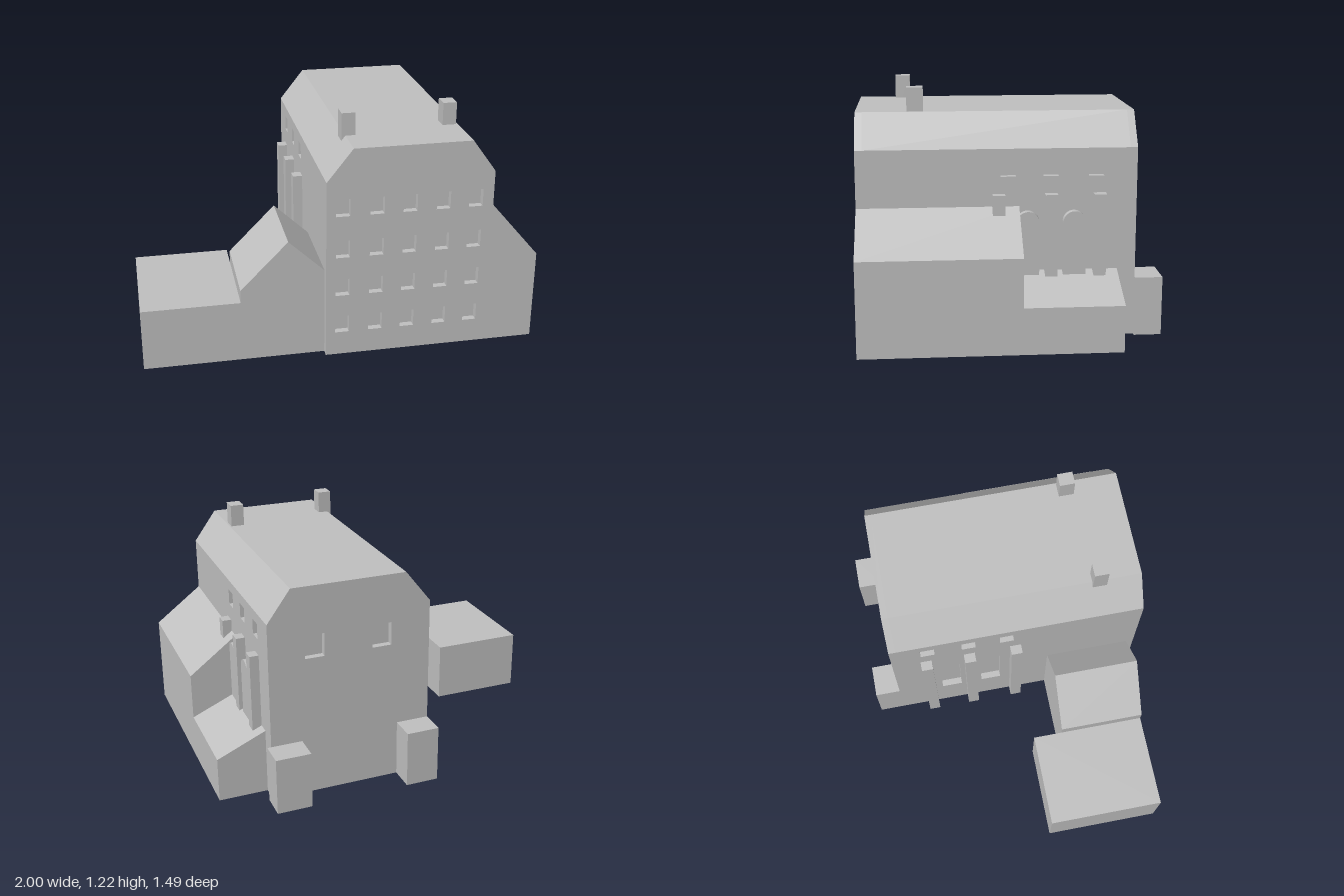
import * as THREE from 'three';

const D = 0.035; // depth of window recesses

export function createModel() {
  const group = new THREE.Group();
  group.name = 'building';
  const grey = new THREE.MeshStandardMaterial({ color: 0xc0c0c0 });
  grey.name = 'plain grey';

  const add = (name, geometry) => {
    const mesh = new THREE.Mesh(geometry, grey);
    mesh.name = name;
    group.add(mesh);
  };
  const box = (name, x0, x1, y0, y1, z0, z1) => {
    const g = new THREE.BoxGeometry(x1 - x0, y1 - y0, z1 - z0);
    add(name, g.translate((x0 + x1) / 2, (y0 + y1) / 2, (z0 + z1) / 2));
  };
  const outline = (pts) => new THREE.Shape(pts.map(([x, y]) => new THREE.Vector2(x, y)));
  const rect = (cx, cy, w, h) => outline([
    [cx - w / 2, cy - h / 2], [cx + w / 2, cy - h / 2],
    [cx + w / 2, cy + h / 2], [cx - w / 2, cy + h / 2],
  ]);
  // Round-headed opening, 0.11 wide
  const arch = (cx) => {
    const s = new THREE.Shape();
    s.moveTo(cx - 0.055, 0.24);
    s.lineTo(cx + 0.055, 0.24);
    s.lineTo(cx + 0.055, 0.583);
    s.absarc(cx, 0.583, 0.055, 0, Math.PI, false);
    s.closePath();
    return s;
  };
  const extrude = (shape, depth) =>
    new THREE.ExtrudeGeometry(shape, { depth, bevelEnabled: false, curveSegments: 16 });
  // Section in x,y running from z0 to z1
  const alongZ = (name, shape, z0, z1) => add(name, extrude(shape, z1 - z0).translate(0, 0, z0));
  // Section in z,y running from x0 to x1
  const alongX = (name, shape, x0, x1) =>
    add(name, extrude(shape, x1 - x0).rotateY(-Math.PI / 2).translate(x1, 0, 0));

  // Front and back walls with recessed windows
  const gable = [[-0.09, 0], [0.75, 0], [0.75, 0.94], [0.63, 1.105], [0.04, 1.105], [-0.09, 0.94]];
  const front = outline(gable);
  for (const x of [-0.007, 0.163, 0.328, 0.495, 0.66])
    for (const y of [0.17, 0.377, 0.585, 0.805]) front.holes.push(rect(x, y, 0.07, 0.09));
  alongZ('frontWall', front, 0.74 - D, 0.74);

  const back = outline(gable);
  for (const x of [0.165, 0.515]) back.holes.push(rect(x, 0.795, 0.1, 0.12));
  alongZ('backWall', back, -0.61, -0.61 + D);

  // Solid core carrying the roof
  alongZ('coreAndRoof', outline([
    [-0.09 + D, 0], [0.75 - D, 0], [0.75 - D, 0.94], ...gable.slice(2), [-0.09 + D, 0.94],
  ]), -0.61 + D, 0.74 - D);

  // Side walls: small upper windows, arches recessed on the right side
  const archZ = [-0.08, -0.305];
  const sideWall = (arched) => {
    const s = outline([[-0.61 + D, 0], [0.74 - D, 0], [0.74 - D, 0.94], [-0.61 + D, 0.94]]);
    for (const z of [0.013, -0.193, -0.413]) s.holes.push(rect(z, 0.845, 0.075, 0.08));
    if (arched) for (const z of archZ) s.holes.push(arch(z));
    return s;
  };
  alongX('leftWall', sideWall(false), 0.75 - D, 0.75);
  alongX('rightWall', sideWall(true), -0.09, -0.09 + D);

  // Raised arched panels on the left side
  for (const z of archZ) alongX('archedPanel', arch(z), 0.75, 0.785);

  // Buttress piers on both sides
  for (const z of [0.06, -0.193, -0.428]) {
    box('leftPier', 0.75, 0.797, 0, 0.722, z - 0.03, z + 0.03);
    box('rightPier', -0.14, -0.09, 0, 0.722, z - 0.03, z + 0.03);
  }

  // Chimneys
  box('chimney', 0.02, 0.09, 1.0, 1.22, 0.48, 0.555);
  box('chimney', 0.55, 0.62, 1.0, 1.22, 0.413, 0.493);

  // Back blocks
  box('backBlock', -0.09, 0.08, 0, 0.295, -0.745, -0.61);
  box('backBlock', 0.59, 0.77, 0, 0.295, -0.745, -0.61);

  // Lean-to annexes on the left
  alongZ('tallAnnex', outline([[0.75, 0], [1, 0], [1, 0.47], [0.75, 0.66]]), -0.04, 0.74);
  alongZ('lowAnnex', outline([[0.75, 0], [1, 0], [1, 0.23], [0.75, 0.34]]), -0.52, -0.04);

  // Gabled wing and flat-roofed block on the right
  alongZ('gabledWing', outline([
    [-0.51, 0], [-0.09, 0], [-0.09, 0.46], [-0.27, 0.63], [-0.51, 0.387],
  ]), 0.245, 0.7);
  box('flatBlock', -1, -0.51, 0, 0.32, 0.09, 0.7);

  return group;
}
